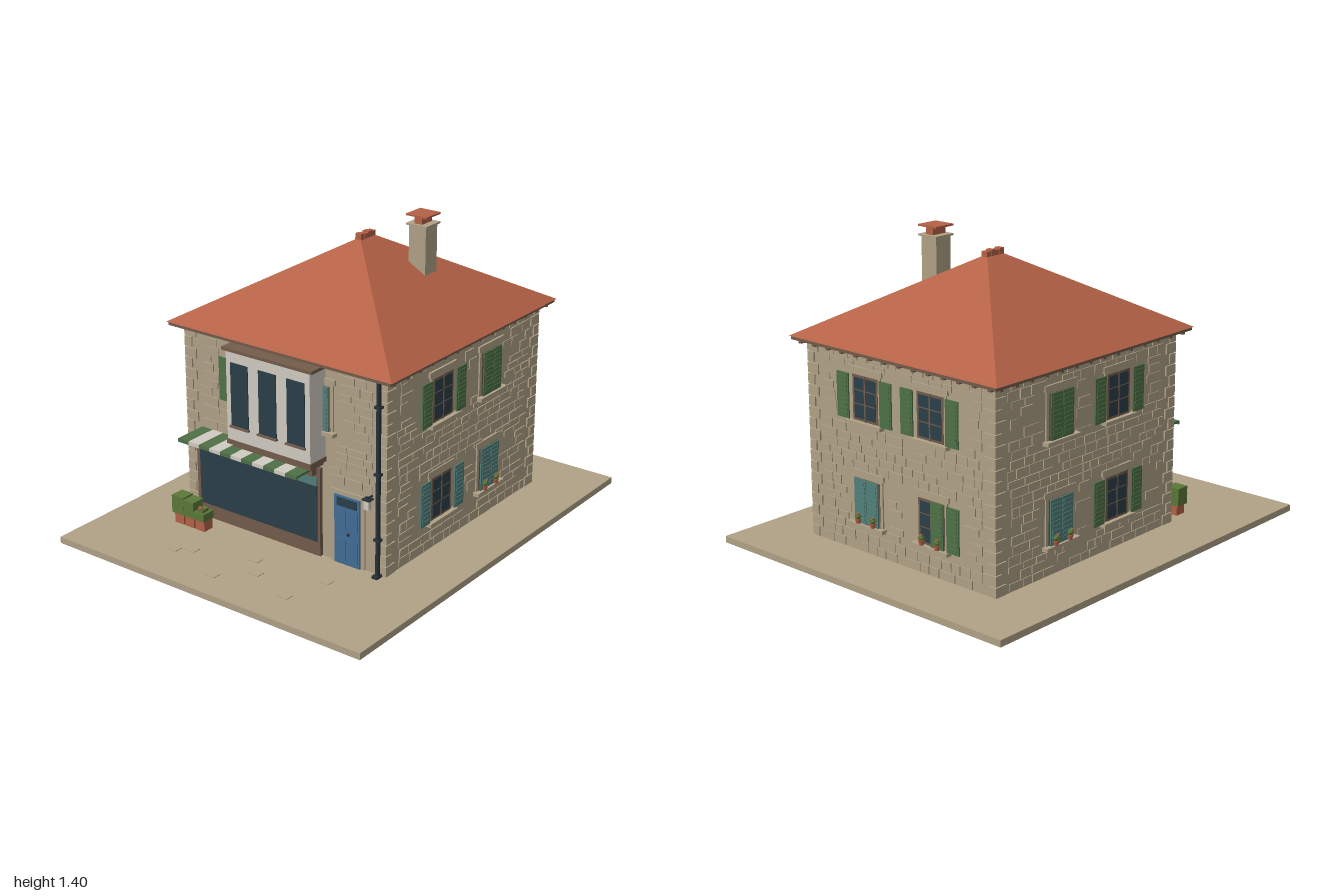
import * as THREE from 'three';
import { mergeGeometries } from 'three/addons/utils/BufferGeometryUtils.js';

const mat = (name, color) => Object.assign(new THREE.MeshStandardMaterial({ color }), { name });

export function createModel() {
  const M = {
    stone: mat('stone', 0xb0a287), tile: mat('terracotta', 0xb56247), wood: mat('brown wood', 0x745c4b),
    plaster: mat('white plaster', 0xd2ccc2), green: mat('shutter green', 0x4f7148), teal: mat('teal paint', 0x527f7b),
    glass: mat('dark glass', 0x2b3f49), door: mat('door blue', 0x416d94), metal: mat('dark metal', 0x27323a),
    leaf: mat('foliage', 0x5b7838),
  };
  const model = new THREE.Group();
  model.name = 'stoneHouse';

  const add = (parent, name, geo, m) => {
    const mesh = new THREE.Mesh(geo, m);
    mesh.name = name;
    parent.add(mesh);
    return mesh;
  };
  // Box given by its extents on each axis
  const boxGeo = (x0, x1, y0, y1, z0, z1) =>
    new THREE.BoxGeometry(x1 - x0, y1 - y0, z1 - z0).translate((x0 + x1) / 2, (y0 + y1) / 2, (z0 + z1) / 2);
  const box = (p, name, m, ...e) => add(p, name, boxGeo(...e), m);
  const group = (p, name) => {
    const g = new THREE.Group();
    g.name = name;
    p.add(g);
    return g;
  };
  let seed = 11;
  const rnd = () => (seed = (seed * 16807) % 2147483647) / 2147483647;

  // Ground slab with a few raised pavers, and the wall core
  box(model, 'groundSlab', M.stone, -0.82, 0.82, 0, 0.03, -1, 1);
  for (const [x, z] of [[-0.35, 0.78], [-0.28, 0.74], [-0.06, 0.86], [0.0, 0.65], [0.08, 0.74], [0.3, 0.82], [0.36, 0.62]])
    box(model, 'paver', M.stone, x - 0.03, x + 0.03, 0.03, 0.033, z - 0.02, z + 0.02);
  box(model, 'wallCore', M.stone, -0.54, 0.54, 0.03, 0.935, -0.72, 0.44);

  // Wall faces: local x runs along the wall, local z points outwards
  const face = (name, x, z, turn) => {
    const g = group(model, name);
    g.position.set(x, 0, z);
    g.rotation.y = turn;
    g.userData.holes = [];
    return g;
  };
  const front = face('frontWall', 0, 0.44, 0);
  const back = face('backWall', 0, -0.72, Math.PI);
  const right = face('sideWallRight', -0.54, 0, -Math.PI / 2);
  const left = face('sideWallLeft', 0.54, 0, Math.PI / 2);

  // Louvred shutter leaf
  const shutter = (p, m, u, y0) => {
    const w = 0.035, geos = [boxGeo(u - w, u + w, y0, y0 + 0.2, 0.012, 0.018)];
    for (let i = 0; i < 9; i++) {
      const y = y0 + 0.014 + i * 0.02;
      geos.push(boxGeo(u - w + 0.008, u + w - 0.008, y, y + 0.012, 0.018, 0.021));
    }
    add(p, 'shutter', mergeGeometries(geos), m);
  };
  const flowerPot = (p, u, y) => {
    add(p, 'flowerPot', new THREE.CylinderGeometry(0.014, 0.01, 0.022, 8).translate(u, y + 0.011, 0.024), M.tile);
    add(p, 'potPlant', new THREE.IcosahedronGeometry(0.016, 0).translate(u, y + 0.032, 0.024), M.leaf);
    add(p, 'blossom', new THREE.IcosahedronGeometry(0.006, 0).translate(u + 0.006, y + 0.045, 0.03), M.tile);
  };
  // Window with sill and lintel; leaves = shutter offsets
  const windowUnit = (wall, u, y, m, leaves, pots) => {
    const g = group(wall, 'window');
    g.position.x = u;
    const reach = Math.max(0.095, ...leaves.map((l) => Math.abs(l) + 0.04));
    wall.userData.holes.push([u - reach, u + reach, y - 0.02, y + 0.21]);
    box(g, 'stoneSurround', M.stone, -0.09, 0.09, y, y + 0.215, 0, 0.007);
    box(g, 'lintel', M.stone, -0.1, 0.1, y + 0.21, y + 0.235, 0, 0.01);
    box(g, 'sill', M.stone, -0.105, 0.105, y - 0.017, y, 0, 0.03);
    box(g, 'frame', M.wood, -0.075, 0.075, y, y + 0.2, 0, 0.009);
    box(g, 'pane', M.glass, -0.064, 0.064, y + 0.011, y + 0.189, 0.007, 0.0105);
    box(g, 'mullion', M.wood, -0.004, 0.004, y, y + 0.2, 0.009, 0.0125);
    for (const k of [0.075, 0.135]) box(g, 'glazingBar', M.wood, -0.064, 0.064, y + k - 0.002, y + k + 0.002, 0.009, 0.012);
    leaves.forEach((l) => shutter(g, m, l, y));
    if (pots) [-0.045, 0.045].forEach((x) => flowerPot(g, x, y));
  };
  const open = [-0.128, 0.128], closed = [-0.036, 0.036], LOW = 0.167, HIGH = 0.625;
  for (const [wall, s, m] of [[left, -1, M.teal], [right, 1, M.green]]) {
    windowUnit(wall, s * 0.045, HIGH, M.green, open);
    windowUnit(wall, s * -0.33, HIGH, M.green, closed);
    windowUnit(wall, s * 0.045, LOW, m, open);
    windowUnit(wall, s * -0.33, LOW, M.teal, closed, true);
  }
  windowUnit(back, -0.19, HIGH, M.green, open);
  windowUnit(back, 0.19, HIGH, M.green, open);
  windowUnit(back, -0.19, LOW, M.teal, closed, true);
  windowUnit(back, 0.19, LOW, M.green, [0.038, 0.128], true);
  windowUnit(front, -0.18, HIGH, M.green, open);
  windowUnit(front, 0.18, HIGH, M.teal, closed);

  // Shop front
  const shop = group(front, 'shopFront');
  box(shop, 'shopFrame', M.wood, -0.485, 0.207, 0.03, 0.445, 0, 0.018);
  box(shop, 'shopGlass', M.glass, -0.465, 0.193, 0.097, 0.36, 0.016, 0.022);
  box(shop, 'shopTransom', M.teal, -0.465, 0.193, 0.36, 0.402, 0.016, 0.022);
  for (let i = 0; i < 11; i++) {
    const x = -0.465 + i * 0.06;
    const strip = box(shop, 'awningStripe', i % 2 ? M.plaster : M.green, x, x + 0.06, 0.448, 0.458, 0, 0.16);
    box(strip, 'awningValance', i % 2 ? M.plaster : M.green, x, x + 0.06, 0.441, 0.458, 0.154, 0.161);
  }
  front.userData.holes.push([-0.5, 0.215, 0, 0.46], [0.25, 0.44, 0, 0.37], [-0.235, 0.235, 0.4, 0.95]);

  // Front door
  const door = group(front, 'frontDoor');
  box(door, 'doorSurround', M.stone, 0.258, 0.435, 0.03, 0.37, 0, 0.008);
  box(door, 'doorLeaf', M.door, 0.28, 0.414, 0.03, 0.35, 0, 0.014);
  box(door, 'doorLight', M.glass, 0.294, 0.4, 0.303, 0.342, 0.012, 0.017);
  for (const [y0, y1] of [[0.05, 0.15], [0.2, 0.29]])
    for (const x of [0.29, 0.353]) box(door, 'doorPanel', M.door, x, x + 0.052, y0, y1, 0.012, 0.017);
  add(door, 'doorKnob', new THREE.SphereGeometry(0.007, 8, 6).translate(0.358, 0.18, 0.02), M.metal);

  // Wall lantern
  const lamp = group(front, 'wallLantern');
  box(lamp, 'lanternArm', M.metal, 0.465, 0.473, 0.385, 0.392, 0, 0.045);
  box(lamp, 'lanternCap', M.metal, 0.45, 0.488, 0.382, 0.388, 0.016, 0.05);
  box(lamp, 'lanternBody', M.plaster, 0.457, 0.481, 0.34, 0.382, 0.021, 0.045);

  // Projecting bay on stepped brackets
  const bay = group(front, 'bayWindow');
  box(bay, 'bayBody', M.plaster, -0.225, 0.225, 0.5, 0.912, 0, 0.105);
  box(bay, 'bayCornice', M.wood, -0.242, 0.242, 0.91, 0.924, 0, 0.115);
  box(bay, 'bayFloor', M.wood, -0.228, 0.228, 0.48, 0.502, 0, 0.108);
  box(bay, 'bayStep', M.wood, -0.212, 0.212, 0.46, 0.48, 0, 0.085);
  box(bay, 'bayBracket', M.wood, -0.19, 0.19, 0.415, 0.46, 0, 0.05);
  for (const x of [-0.152, 0, 0.152]) {
    box(bay, 'bayPane', M.glass, x - 0.047, x + 0.047, 0.572, 0.86, 0.1, 0.109);
    box(bay, 'baySill', M.wood, x - 0.052, x + 0.052, 0.564, 0.572, 0.1, 0.118);
  }

  // Coursed stone facing, leaving the openings free
  const stones = (wall, u0, u1) => {
    const geos = [];
    for (let y = 0.034; y < 0.9;) {
      const h = Math.min(0.026 + rnd() * 0.018, 0.925 - y);
      for (let u = u0 + rnd() * 0.03; u < u1 - 0.03;) {
        const w = Math.min(0.04 + rnd() * 0.06, u1 - u);
        const blocked = wall.userData.holes.some(([a, b, c, d]) => u < b && u + w > a && y < d && y + h > c);
        if (!blocked && rnd() < 0.85) geos.push(boxGeo(u, u + w, y, y + h, -0.002, 0.003 + rnd() * 0.003));
        u += w + 0.005;
      }
      y += h + 0.005;
    }
    add(wall, 'facingStones', mergeGeometries(geos), M.stone);
  };
  stones(front, -0.47, 0.47);
  stones(back, -0.47, 0.47);
  stones(left, -0.37, 0.65);
  stones(right, -0.65, 0.37);

  // Alternating corner stones
  const quoins = [];
  for (const sx of [-1, 1]) for (const [cz, sz] of [[0.44, 1], [-0.72, -1]])
    for (let i = 0; i < 18; i++) {
      const a = i % 2 ? 0.065 : 0.04, b = i % 2 ? 0.04 : 0.065, y = 0.033 + i * 0.0497;
      quoins.push(boxGeo(-a / 2, a / 2, y, y + 0.045, -b / 2, b / 2)
        .translate(sx * (0.547 - a / 2), 0, cz + sz * (0.007 - b / 2)));
    }
  add(model, 'cornerStones', mergeGeometries(quoins), M.stone);

  // Hipped roof: a box with its top drawn in to the ridge
  const roof = group(model, 'roof');
  box(roof, 'eaves', M.wood, -0.595, 0.595, 0.925, 0.943, -0.775, 0.495);
  const hip = boxGeo(-0.603, 0.603, 0.94, 1.285, -0.64, 0.64);
  const p = hip.attributes.position;
  for (let i = 0; i < p.count; i++)
    if (p.getY(i) > 1.1) p.setXYZ(i, Math.sign(p.getX(i)) * 0.003, 1.285, Math.sign(p.getZ(i)) * 0.04);
  hip.computeVertexNormals();
  add(roof, 'hippedRoof', hip.translate(0, 0, -0.14), M.tile);
  for (let i = 0; i < 4; i++) {
    const z = -0.195 + i * 0.027;
    box(roof, 'ridgeTile', M.tile, -0.016, 0.016, 1.275, i % 2 ? 1.305 : 1.3, z, z + 0.025);
  }
  // Rafter ends under the eaves
  for (let i = 0; i < 14; i++) {
    const x = -0.55 + i * 0.0846, z = -0.73 + i * 0.0908;
    box(roof, 'rafterEnds', M.wood, x - 0.008, x + 0.008, 0.912, 0.926, -0.765, -0.7);
    for (const s of [-1, 1])
      box(roof, 'rafterEnds', M.wood, s > 0 ? 0.53 : -0.585, s > 0 ? 0.585 : -0.53, 0.912, 0.926, z - 0.008, z + 0.008);
  }

  // Chimney
  const chimney = group(model, 'chimney');
  box(chimney, 'chimneyStack', M.stone, 0.18, 0.268, 1.1, 1.35, -0.302, -0.215);
  box(chimney, 'chimneyLedge', M.stone, 0.17, 0.278, 1.35, 1.358, -0.312, -0.205);
  box(chimney, 'chimneyPot', M.tile, 0.204, 0.244, 1.358, 1.392, -0.297, -0.22);
  box(chimney, 'chimneyCap', M.tile, 0.17, 0.278, 1.392, 1.4, -0.312, -0.205);

  // Drainpipe with brackets
  const pipe = group(model, 'drainpipe');
  add(pipe, 'pipe', new THREE.CylinderGeometry(0.011, 0.011, 0.89, 10).translate(0.513, 0.48, 0.46), M.metal);
  box(pipe, 'pipeShoe', M.metal, 0.499, 0.527, 0.03, 0.042, 0.445, 0.485);
  for (const y of [0.2, 0.5, 0.8]) box(pipe, 'pipeBracket', M.metal, 0.498, 0.528, y, y + 0.01, 0.44, 0.474);

  // Planters by the shop
  const planters = group(model, 'planters');
  [[-0.515, 0.162], [-0.455, 0.155], [-0.395, 0.115]].forEach(([x, top], i) => {
    box(planters, 'planter', M.tile, x, x + 0.052, 0.03, 0.082, 0.53, 0.585);
    box(planters, 'shrub', M.leaf, x - (i ? 0.005 : 0.012), x + 0.054, 0.078, top, 0.523, 0.59);
  });
  add(planters, 'blossom', new THREE.IcosahedronGeometry(0.011, 0).translate(-0.37, 0.135, 0.575), M.tile);
  box(planters, 'flowerStem', M.leaf, -0.385, -0.355, 0.11, 0.13, 0.54, 0.58);
  return model;
}
